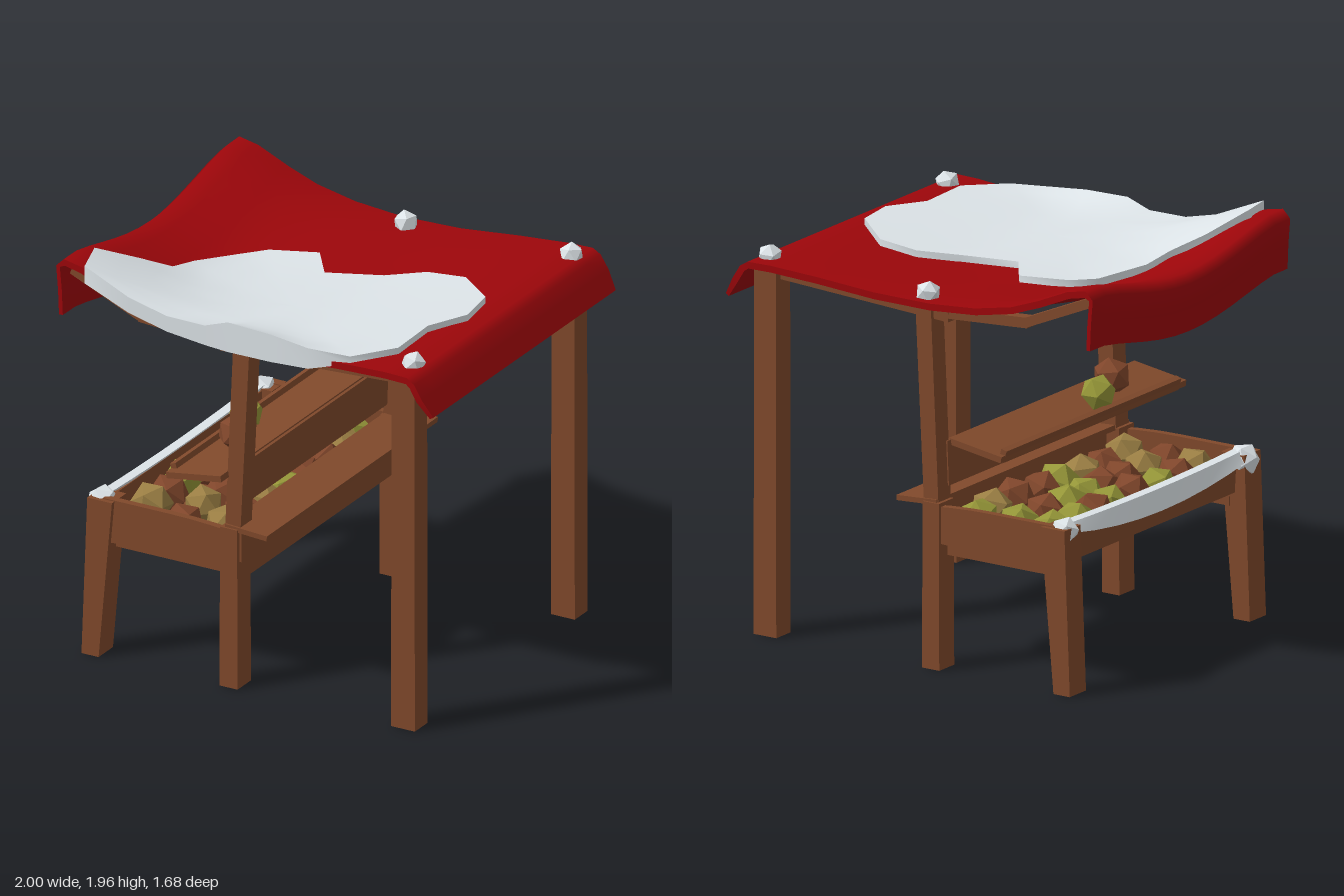
import * as THREE from 'three';

const mat = (name, color, side = THREE.FrontSide) => {
  const m = new THREE.MeshStandardMaterial({ color, side });
  m.name = name;
  return m;
};
const wood = mat('wood', 0x80492b);
const cloth = mat('red cloth', 0x9c060a);
const snow = mat('snow', 0xdde4e8, THREE.DoubleSide);
const green = mat('green fruit', 0x959638);
const tan = mat('tan fruit', 0x9a7e43);
const brown = mat('brown fruit', 0x80462b);

// Small seeded random generator
let seed = 11;
const rnd = () => (seed = (seed * 16807) % 2147483647) / 2147483647;

// Canopy cross-section along x: [x, height at the side edges, sag at the middle]
const profile = [
  [-0.985, 1.66, 0.1], [-0.99, 1.78, 0.1], [-1, 1.9, 0.11], [-0.96, 1.94, 0.11], [-0.86, 1.92, 0.11],
  [-0.7, 1.85, 0.105], [-0.55, 1.795, 0.085], [-0.35, 1.755, 0.05], [-0.1, 1.735, 0.02], [0.2, 1.74, 0.015],
  [0.5, 1.765, 0.01], [0.75, 1.78, 0], [0.87, 1.78, 0], [0.91, 1.755, 0], [0.95, 1.69, 0], [1, 1.605, 0],
];
const sagAt = (z) => Math.pow(Math.cos(Math.min(1, Math.abs(z) / 0.69) * Math.PI / 2), 1.3);
const canopyY = (x, z) => {
  let i = 3;
  while (i < profile.length - 2 && profile[i + 1][0] < x) i++;
  const [a, b] = [profile[i], profile[i + 1]];
  const t = (x - a[0]) / (b[0] - a[0]);
  return a[1] + (b[1] - a[1]) * t - (a[2] + (b[2] - a[2]) * t) * sagAt(z);
};

export function createModel() {
  const root = new THREE.Group();
  root.name = 'marketStall';

  const add = (name, geo, m) => {
    const mesh = new THREE.Mesh(geo, m);
    mesh.name = name;
    root.add(mesh);
    return mesh;
  };
  // Box reaching from a to b; w is across, h is the other thickness
  const beam = (name, a, b, w, h) => {
    const p = new THREE.Vector3(...a), q = new THREE.Vector3(...b);
    const mesh = add(name, new THREE.BoxGeometry(w, h, p.distanceTo(q)), wood);
    mesh.position.copy(p).add(q).multiplyScalar(0.5);
    mesh.lookAt(q);
    return mesh;
  };
  const box = (name, w, h, d, x, y, z, tilt = 0) => {
    const mesh = add(name, new THREE.BoxGeometry(w, h, d), wood);
    mesh.position.set(x, y, z);
    mesh.rotation.z = tilt;
    return mesh;
  };
  const lump = (name, r, x, y, z, m) => {
    const mesh = add(name, new THREE.IcosahedronGeometry(r, 0), m);
    mesh.position.set(x, y, z);
    mesh.rotation.set(rnd() * 6, rnd() * 6, rnd() * 6);
    return mesh;
  };
  // Upright with a quad section, sheared and tapered between two heights
  const post = (name, x0, x1, y1, z, w0, w1, d, y0 = 0) => {
    const g = new THREE.BoxGeometry(1, 1, d);
    const p = g.attributes.position;
    for (let i = 0; i < p.count; i++) {
      const top = p.getY(i) > 0;
      p.setXYZ(i, (top ? x1 : x0) + p.getX(i) * (top ? w1 : w0), top ? y1 : y0, p.getZ(i) + z);
    }
    g.computeVertexNormals();
    return add(name, g, wood);
  };

  // Posts, legs and the beams that run along x, mirrored in z
  for (const s of [1, -1]) {
    post('tallPost', 0.815, 0.815, 1.755, s * 0.72, 0.125, 0.12, 0.115);
    post('middleLeg', -0.1, -0.1, 0.79, s * 0.72, 0.095, 0.09, 0.12);
    post('canopyPost', -0.09, -0.045, 1.7, s * 0.71, 0.08, 0.085, 0.1, 0.76);
    post('frontLeg', -0.825, -0.775, 0.78, s * 0.72, 0.09, 0.13, 0.13);
    beam('sideBeam', [-0.17, 1.675, s * 0.71], [0.8, 1.725, s * 0.71], 0.06, 0.06);
    beam('frontRafter', [-0.06, 1.68, s * 0.71], [-0.6, 1.715, s * 0.71], 0.055, 0.05);
    beam('frontRafter', [-0.58, 1.71, s * 0.71], [-0.95, 1.87, s * 0.71], 0.055, 0.045);
    // Crate ends with a slightly curved top
    const g = new THREE.BoxGeometry(0.7, 0.2, 0.035, 6, 1, 1);
    const p = g.attributes.position;
    for (let i = 0; i < p.count; i++) {
      const t = p.getX(i) / 0.35;
      p.setY(i, p.getY(i) > 0 ? 0.785 - 0.02 * t * t * (t > 0 ? 1 : 0) : 0.585 + 0.015 * t);
    }
    g.computeVertexNormals();
    const end = add('crateEnd', g, wood);
    end.position.set(-0.42, 0, s * 0.745);
    box('crateRail', 0.66, 0.045, 0.06, -0.43, 0.555, s * 0.68);
  }
  beam('crossBeam', [0.815, 1.715, -0.7], [0.815, 1.715, 0.7], 0.06, 0.07);
  beam('crossBeam', [-0.04, 1.67, -0.7], [-0.04, 1.67, 0.7], 0.06, 0.06);

  // Crate: long walls and floor planks
  box('crateFront', 0.035, 0.17, 1.5, -0.775, 0.685, 0, 0.06);
  box('crateBack', 0.035, 0.165, 1.52, -0.06, 0.71, 0);
  box('crateBackRail', 0.04, 0.1, 1.38, -0.08, 0.575, 0);
  for (let i = 0; i < 5; i++) {
    const m = box('floorPlank', 0.125, 0.025, 1.4, -0.69 + i * 0.135, 0.595 + (i % 2) * 0.012, 0);
    m.rotation.y = (i % 2 ? 1 : -1) * 0.008;
  }
  box('floorBatten', 0.23, 0.04, 1.3, -0.39, 0.57, 0);

  // Counter plank and the tilted shelf above it
  box('counterPlank', 0.22, 0.025, 1.54, -0.015, 0.785, 0, -0.06);
  box('shelfBack', 0.025, 0.21, 1.36, -0.115, 0.955, 0, -0.04);
  box('shelfBoard', 0.29, 0.03, 1.48, -0.255, 1.03, 0.09, 0.15);
  box('shelfLip', 0.03, 0.06, 1.4, -0.385, 1.02, 0.08, 0.3);

  // Fruit in the crate and on the shelf: green to tan along the crate, brown between
  const fruits = [green, tan, brown];
  for (let r = 0; r < 8; r++) {
    for (let c = 0; c < 3; c++) {
      const z = -0.6 + r * 0.168 + (c % 2) * 0.04;
      const k = rnd();
      const m = z < -0.1 ? fruits[k < 0.6 ? 0 : k < 0.75 ? 1 : 2]
        : z < 0.3 ? fruits[k < 0.15 ? 0 : k < 0.5 ? 1 : 2] : fruits[k < 0.65 ? 1 : 2];
      lump('crateFruit', 0.095 + rnd() * 0.012, -0.63 + c * 0.2 + (rnd() - 0.5) * 0.05,
        0.685 + rnd() * 0.02 + (c === 0 ? 0.015 : 0), z + (rnd() - 0.5) * 0.04, m);
    }
  }
  lump('shelfFruit', 0.092, -0.25, 1.11, 0.45, brown);
  lump('shelfFruit', 0.085, -0.335, 1.105, 0.22, green);

  // Canopy: a thin box bent along the profile and sagging in the middle
  const n = profile.length - 1;
  const cg = new THREE.BoxGeometry(n, 1, 2, n, 1, 14);
  const cp = cg.attributes.position;
  for (let i = 0; i < cp.count; i++) {
    const k = Math.round(cp.getX(i) + n / 2);
    const a = profile[Math.max(0, k - 1)], b = profile[Math.min(n, k + 1)];
    const len = Math.hypot(b[0] - a[0], b[1] - a[1]);
    const off = cp.getY(i) > 0 ? 0 : k < 3 || k === n ? 0.02 : 0.032;
    const [x, y, sag] = profile[k];
    const z = cp.getZ(i) * (0.79 + 0.055 * Math.max(0, Math.min(x, 0.95)) - (k === n ? 0.02 : 0));
    cp.setXYZ(i, x + off * (b[1] - a[1]) / len, y - off * (b[0] - a[0]) / len - sag * sagAt(z), z);
  }
  cg.computeVertexNormals();
  add('canopy', cg, cloth);

  // Snow patch: rings shrinking from an outline [x, z, lift] to its centre, with a drooping rim
  const outline = [
    [-0.88, 0.65, 0.01], [-0.76, 0.46], [-0.65, 0.34], [-0.63, 0.18], [-0.52, -0.05], [-0.43, -0.15], [-0.21, -0.23],
    [-0.08, -0.05], [0.18, -0.14], [0.35, -0.24], [0.55, -0.24], [0.76, -0.06], [0.79, 0.15], [0.69, 0.34],
    [0.7, 0.62], [0.55, 0.8], [0.35, 0.835, 0.025], [0.15, 0.83, 0.06], [-0.08, 0.825, 0.07], [-0.2, 0.825, 0.02],
    [-0.4, 0.825], [-0.6, 0.825], [-0.83, 0.825, 0.01],
  ];
  const m = outline.length, rings = 7, verts = [], faces = [], rim = [], rimFaces = [];
  for (let r = 0; r <= rings; r++) {
    for (const [ox, oz, lift = 0] of outline) {
      const t = r / rings, x = ox * t, z = 0.36 + (oz - 0.36) * t;
      verts.push(x, canopyY(x, z) + 0.032 + lift * t ** 4, z);
    }
  }
  for (const [x, z, lift = 0] of outline) {
    const y = canopyY(x, z);
    rim.push(x, y + 0.032 + lift, z, x, y - (z > 0.81 ? 0.045 : 0.005), z);
  }
  for (let i = 0; i < m; i++) {
    const j = (i + 1) % m;
    for (let r = 0; r < rings; r++) {
      const a = r * m + i, b = r * m + j, c = a + m, d = b + m;
      faces.push(a, d, c);
      if (r) faces.push(a, b, d);
    }
    rimFaces.push(2 * i, 2 * j, 2 * i + 1, 2 * j, 2 * j + 1, 2 * i + 1);
  }
  const surface = (name, v, f) => {
    const g = new THREE.BufferGeometry();
    g.setAttribute('position', new THREE.Float32BufferAttribute(v, 3));
    g.setIndex(f);
    g.computeVertexNormals();
    add(name, g, snow);
  };
  surface('snowPatch', verts, faces);
  surface('snowRim', rim, rimFaces);

  // Snow along the crate front, deepest in the middle
  const sg = new THREE.BoxGeometry(0.05, 1, 1.42, 1, 1, 8);
  const sp = sg.attributes.position;
  for (let i = 0; i < sp.count; i++) {
    const z = sp.getZ(i), t = 1 - (z / 0.71) ** 2, top = sp.getY(i) > 0;
    sp.setXYZ(i, -0.785 + sp.getX(i) - (top ? 0 : 0.03), top ? 0.795 - 0.015 * t : 0.755 - 0.07 * t, z);
  }
  sg.computeVertexNormals();
  add('crateSnow', sg, snow);

  // Snow lumps on post tops and crate corners
  for (const [x, y, z, r] of [[0.82, 1.785, 0.69, 0.06], [0.83, 1.785, -0.715, 0.06], [-0.035, 1.755, -0.705, 0.06],
    [-0.8, 0.745, 0.71, 0.078], [-0.79, 0.755, -0.71, 0.07]]) {
    lump('snowLump', r, x, y, z, snow);
  }
  return root;
}
